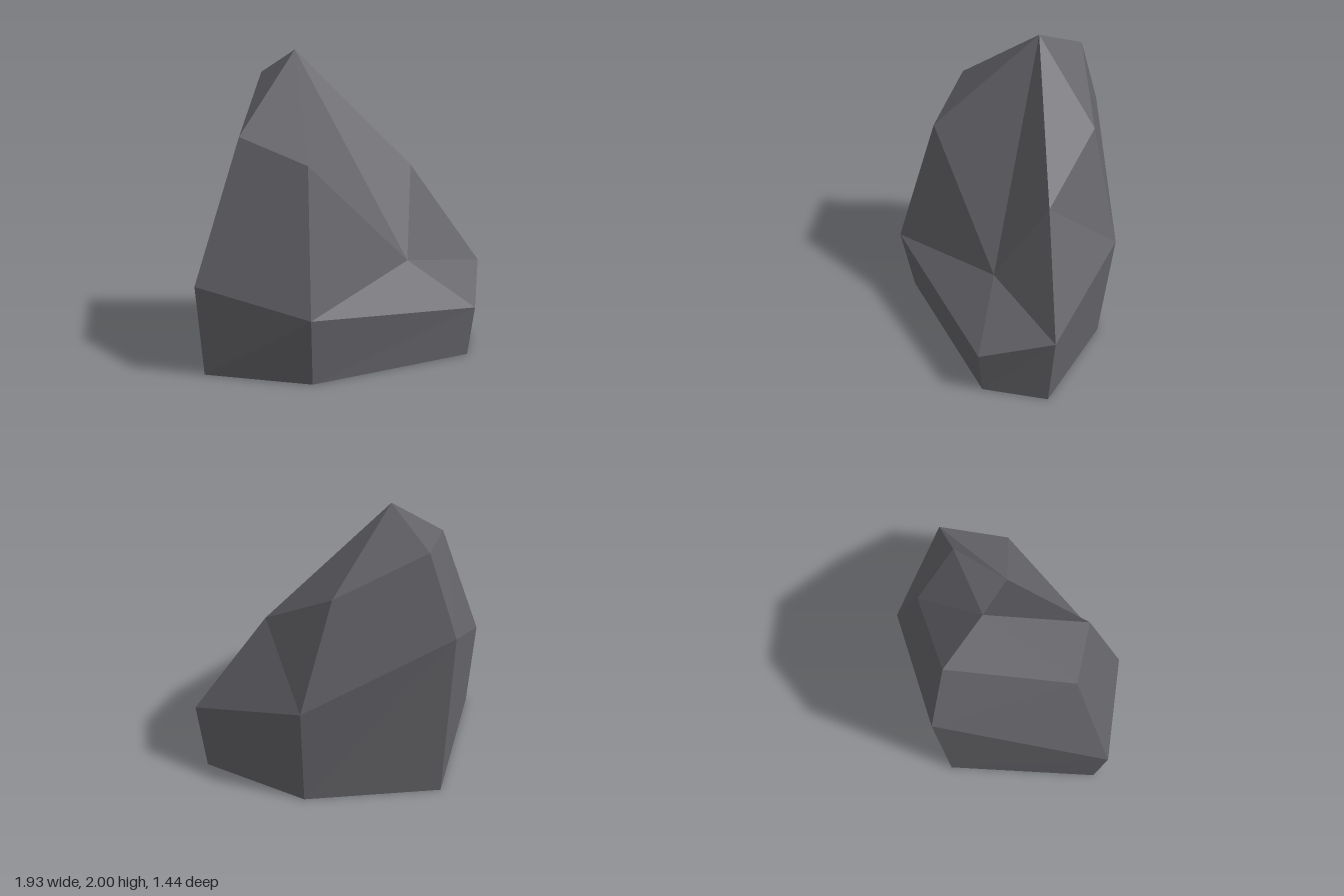
import * as THREE from 'three';

// Six-sided rings, counterclockwise seen from above, starting at the front left
const shoulder = [
  [-0.97, 0.6, 0.45], [-0.26, 0.44, 0.72], [0.86, 0.33, 0.18],
  [0.965, 0.525, -0.3], [0.275, 0.78, -0.72], [-0.68, 1.285, -0.645],
];
const crown = [
  [-0.675, 1.51, 0.265], [-0.257, 1.355, 0.457], [0.42, 0.635, 0.075],
  [0.483, 1.21, -0.27], [0.07, 1.533, -0.568], [-0.51, 1.82, -0.515],
];
const peak = [-0.296, 2, -0.226];
// The foot is the shoulder ring drawn in slightly and flattened to the ground
const foot = shoulder.map(([x, , z]) => [x * 0.95, 0, z * 0.882]);

// Joins two rings; rising[i] tells which way each quad is split
function band(lower, upper, rising) {
  return lower.flatMap((a, i) => {
    const j = (i + 1) % lower.length;
    const b = lower[j], c = upper[j], d = upper[i];
    return rising[i] ? [a, b, c, a, c, d] : [a, b, d, b, c, d];
  });
}

export function createModel() {
  const stone = new THREE.MeshStandardMaterial({ color: 0x65656a });
  stone.name = 'darkGreyStone';
  stone.flatShading = true;

  const corners = [
    ...band(foot, shoulder, [true, true, true, true, true, true]),
    ...band(shoulder, crown, [true, true, false, false, true, true]),
    // Facets up to the peak
    ...crown.flatMap((p, i) => [p, crown[(i + 1) % 6], peak]),
    // Flat underside
    ...[1, 2, 3, 4].flatMap((i) => [foot[0], foot[i + 1], foot[i]]),
  ];
  const geometry = new THREE.BufferGeometry();
  geometry.setAttribute('position', new THREE.Float32BufferAttribute(corners.flat(), 3));
  geometry.computeVertexNormals();

  const rock = new THREE.Mesh(geometry, stone);
  rock.name = 'rock';
  const group = new THREE.Group();
  group.name = 'boulder';
  group.add(rock);
  return group;
}
